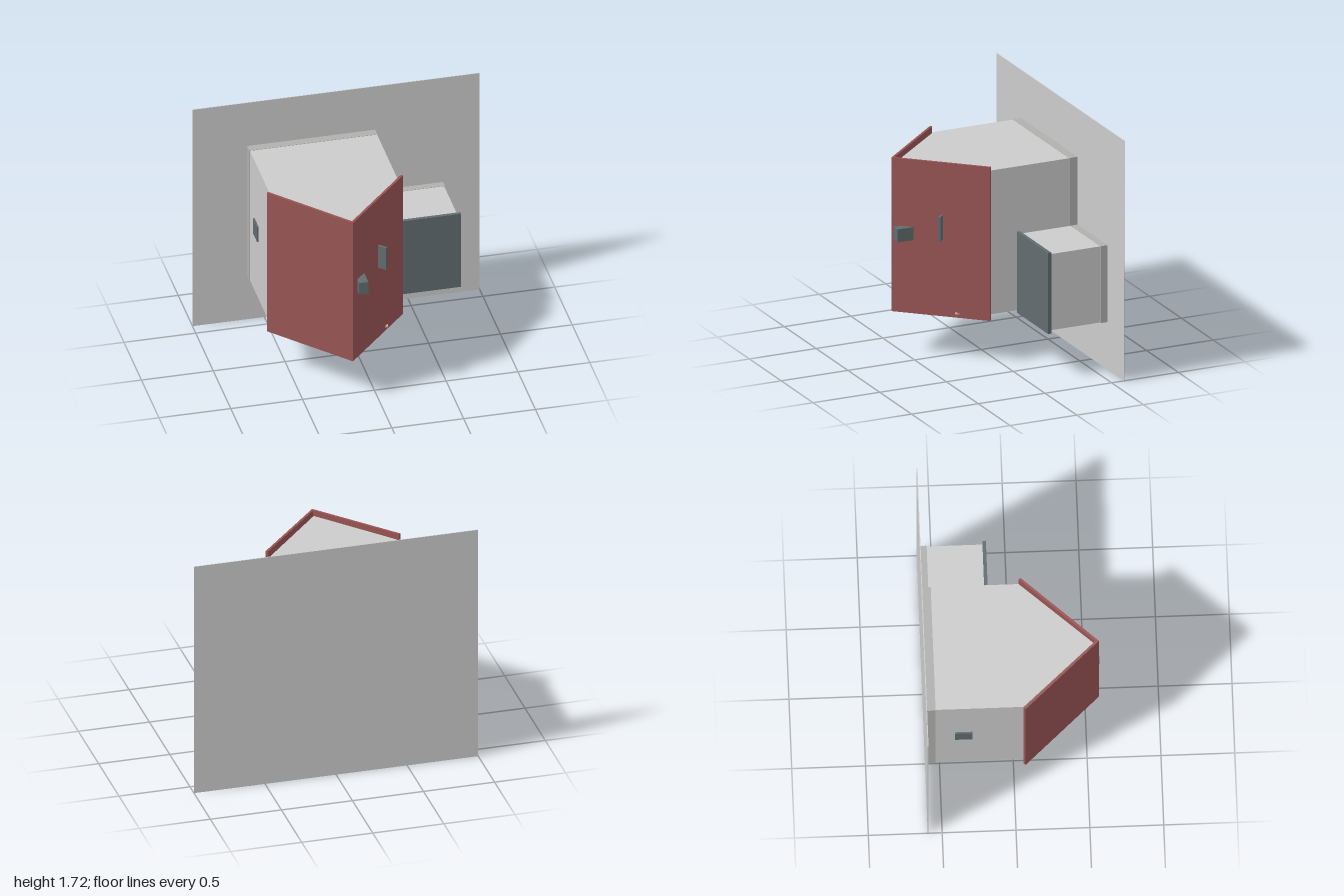
import * as THREE from 'three';

const mat = (color) => new THREE.MeshStandardMaterial({ color, flatShading: true });

export function createModel() {
  const model = new THREE.Group();
  const grey = mat(0xcccccc), shade = mat(0xb0b0ae), red = mat(0x9a5555);
  const dark = mat(0x626c70), tan = mat(0xd0b8a0);

  const add = (name, geometry, material) => {
    const mesh = new THREE.Mesh(geometry, material);
    mesh.name = name;
    model.add(mesh);
    return mesh;
  };
  // Box given by its lower and upper limits on each axis
  const box = (name, [x0, x1], [y0, y1], [z0, z1], material) => {
    const mesh = add(name, new THREE.BoxGeometry(x1 - x0, y1 - y0, z1 - z0), material);
    mesh.position.set((x0 + x1) / 2, (y0 + y1) / 2, (z0 + z1) / 2);
    return mesh;
  };
  // Upright prism from a floor outline of [x, z] points
  const prism = (name, outline, y0, y1, material) => {
    const shape = new THREE.Shape(outline.map(([x, z]) => new THREE.Vector2(x, -z)));
    const geometry = new THREE.ExtrudeGeometry(shape, { depth: y1 - y0, bevelEnabled: false });
    geometry.rotateX(-Math.PI / 2);
    add(name, geometry, material).position.y = y0;
  };

  // Wall with the mounting frames in front of it
  box('wall', [-1, 1], [0, 1.72], [-0.598, -0.592], grey);
  box('mainFrame', [-0.62, 0.272], [0.342, 1.377], [-0.592, -0.53], shade);
  box('sideFrame', [0.272, 0.745], [0.342, 0.892], [-0.592, -0.54], shade);

  // Main cabinet with a pointed front
  const tipX = -0.172;
  prism('mainCabinet',
    [[-0.615, -0.53], [-0.615, 0.065], [tipX, 0.555], [0.27, 0.065], [0.27, -0.53]],
    0.345, 1.375, grey);

  // Two door leaves meeting at the tip
  for (const side of [-1, 1]) {
    prism(side < 0 ? 'rightDoor' : 'leftDoor', [
      [tipX, 0.593], [tipX + side * 0.474, 0.078],
      [tipX + side * 0.462, 0.066], [tipX, 0.568],
    ], 0.31, 1.41, red);
  }

  // Door fittings
  box('lockBox', [-0.13, -0.065], [0.835, 0.928], [0.478, 0.597], dark);
  const handle = box('doorHandle', [0.082, 0.098], [0.865, 1.04], [0.305, 0.375], dark);
  handle.position.set(0.092, 0.952, 0.348);
  handle.rotation.y = Math.atan2(0.515, 0.474);
  box('latchPin', [0.13, 0.155], [0.335, 0.346], [0.2, 0.262], tan);

  // Side cabinet with its door
  box('sideCabinet', [0.27, 0.74], [0.345, 0.89], [-0.54, -0.16], grey);
  box('sideDoor', [0.27, 0.76], [0.328, 0.908], [-0.162, -0.138], dark);

  // Framed plates on the undersides: centre x, centre z, width, depth
  const plates = [
    [0.07, 0.15, 0.15, 0.15], [-0.165, 0.24, 0.16, 0.25],
    [-0.3, 0.23, 0.13, 0.11], [0.5, -0.39, 0.34, 0.38],
  ];
  for (const [x, z, w, d] of plates) {
    box('plateRim', [x - w / 2, x + w / 2], [0.338, 0.346], [z - d / 2, z + d / 2], tan);
    const a = w / 2 - 0.008, b = d / 2 - 0.008;
    box('plate', [x - a, x + a], [0.335, 0.345], [z - b, z + b], dark);
  }
  box('plateSlot', [0.02, 0.12], [0.332, 0.337], [0.135, 0.165], tan);
  box('plateKnob', [0.59, 0.605], [0.327, 0.337], [-0.445, -0.43], dark);

  // Small plate on the outer side of the main cabinet
  box('sidePlate', [-0.626, -0.614], [0.8, 0.92], [-0.4, -0.28], dark);
  return model;
}
